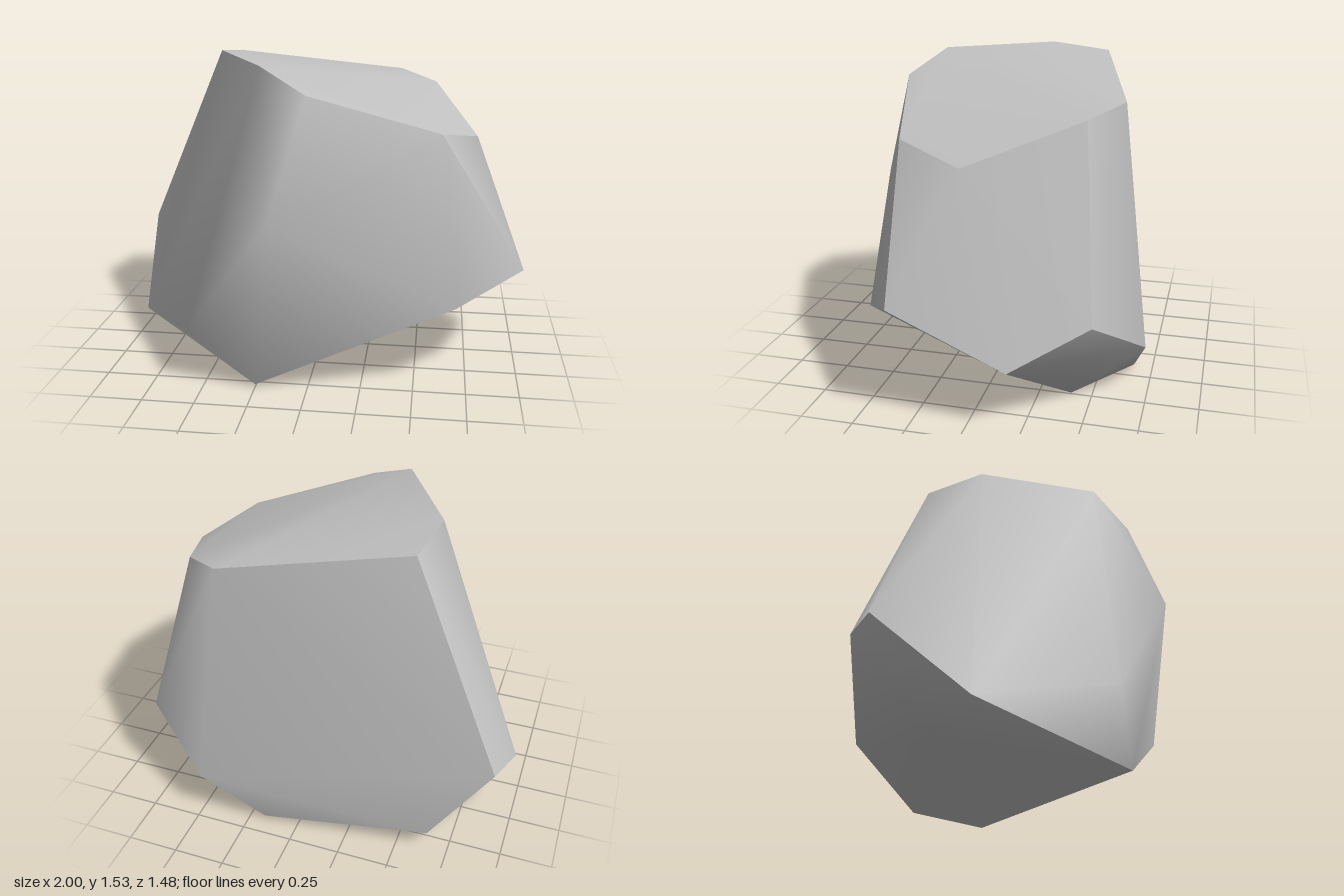
import * as THREE from 'three';
import { ConvexGeometry } from 'three/addons/geometries/ConvexGeometry.js';

// corners of the stone, by letter
const CORNERS = {
  // slanted top rim
  A: [-0.48, 1.5, -0.39], B: [0.37, 1.39, -0.6], C: [0.56, 1.34, -0.46], D: [0.77, 1.15, 0.05],
  E: [0.6, 1.22, 0.38], F: [0, 1.41, 0.55], G: [-0.23, 1.52, 0.42], H: [-0.52, 1.53, -0.09],
  // widest corners round the sides
  I: [-0.15, 0.86, 0.735], J: [0.69, 0.44, 0.52], K: [1, 0.57, 0.32], L: [0.95, 0.31, -0.2],
  M: [0.8, 0.49, -0.54], N: [0.47, 0.27, -0.74], O: [-0.93, 0.5, -0.515], P: [-1, 0.555, -0.4],
  Q: [-0.94, 0.16, 0.04], R: [-0.57, 0.285, 0.575],
  // underside
  S: [-0.25, 0.012, 0.55], T: [0.49, 0, -0.4], U: [0.17, 0.02, -0.66],
  V: [-0.65, 0.11, -0.59], W: [-0.8, 0.025, -0.15],
};

// smooth sides of the stone and the corners each spans; the front takes what is left
const SIDES = [
  ['topFacet', 'ABCDEFGH'],
  ['leftFacet', 'CDEKLM'],
  ['backFacet', 'ABCMNUVO'],
  ['underside', 'JKLMNOPQSTUVW'],
  ['frontFacet', Object.keys(CORNERS).join('')],
];

export function createModel() {
  const group = new THREE.Group();
  group.name = 'boulder';
  const stoneGrey = new THREE.MeshStandardMaterial({ color: 0xc0c0c0 });
  stoneGrey.name = 'stone grey';

  const letters = Object.keys(CORNERS);
  const points = letters.map((k) => new THREE.Vector3(...CORNERS[k]));
  const hull = new ConvexGeometry(points).getAttribute('position');

  // sort the hull triangles into the sides
  const faces = SIDES.map(() => []);
  const v = new THREE.Vector3();
  for (let i = 0; i < hull.count; i += 3) {
    const tri = [0, 1, 2].map((k) => {
      v.fromBufferAttribute(hull, i + k);
      return points.findIndex((p) => p.distanceTo(v) < 1e-3);
    });
    const side = SIDES.findIndex(([, span]) => tri.every((c) => span.includes(letters[c])));
    faces[side].push(...tri);
  }

  // each side is smooth within itself and meets its neighbours at a sharp edge
  SIDES.forEach(([name], s) => {
    const geometry = new THREE.BufferGeometry().setFromPoints(points);
    geometry.setIndex(faces[s]);
    geometry.computeVertexNormals();
    const mesh = new THREE.Mesh(geometry, stoneGrey);
    mesh.name = name;
    group.add(mesh);
  });
  return group;
}
